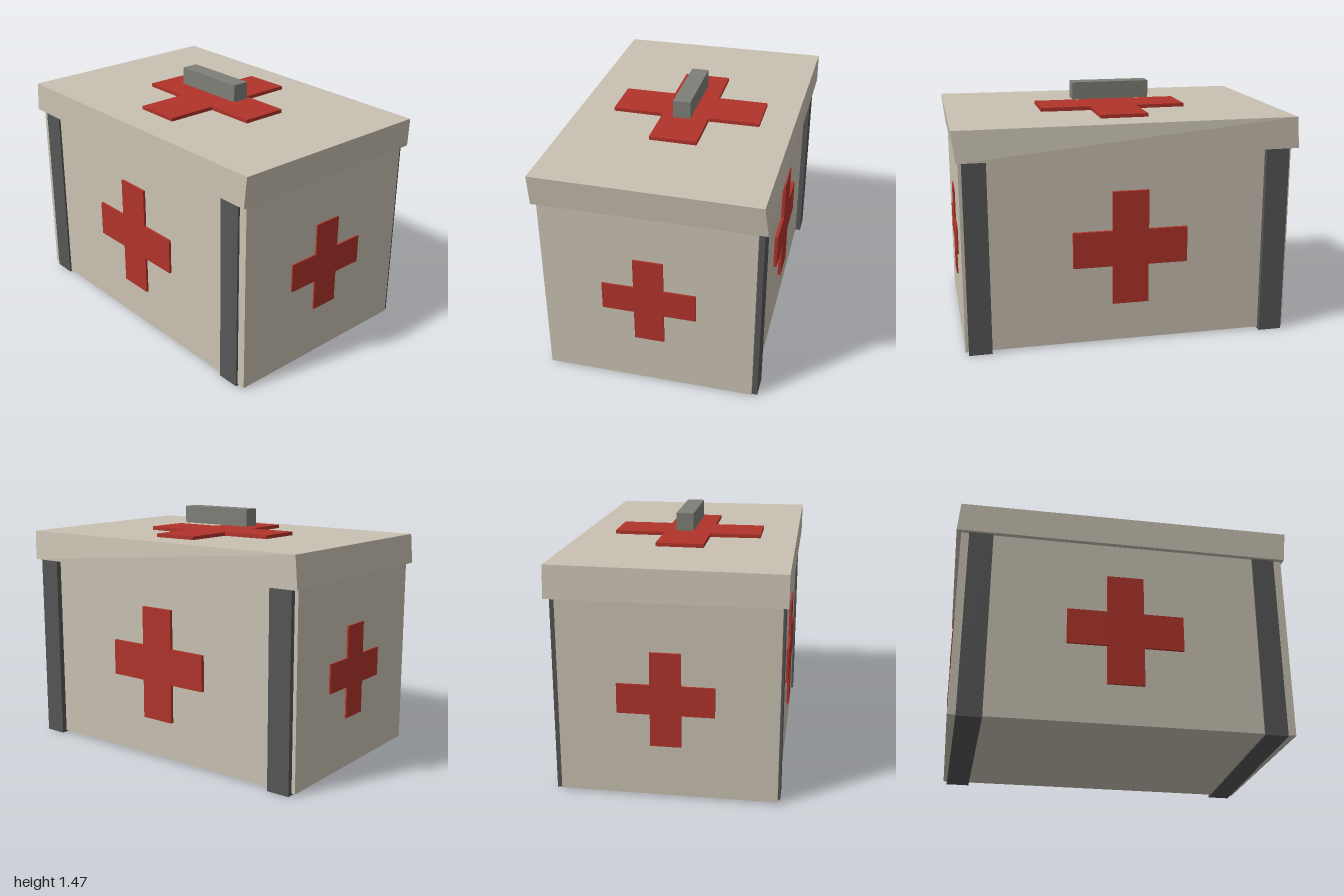
import * as THREE from 'three';

const mat = (color) => new THREE.MeshStandardMaterial({ color, flatShading: true });

export function createModel() {
  const group = new THREE.Group();
  const cream = mat(0xc9c1b2), red = mat(0xb0342a), dark = mat(0x565656), grey = mat(0x7e7f77);

  const add = (name, geometry, material) => {
    const mesh = new THREE.Mesh(geometry, material);
    mesh.name = name;
    group.add(mesh);
    return mesh;
  };

  // Box given by its minimum and maximum corners
  const boxBetween = (a, b) => new THREE.BoxGeometry(b[0] - a[0], b[1] - a[1], b[2] - a[2])
    .translate((a[0] + b[0]) / 2, (a[1] + b[1]) / 2, (a[2] + b[2]) / 2);

  // Extruded plus shape: half length and half bar width across (w, bw) and up (h, bh)
  const cross = (w, h, bw, bh, depth) => {
    const pts = [[bw, -h], [bw, -bh], [w, -bh], [w, bh], [bw, bh], [bw, h],
      [-bw, h], [-bw, bh], [-w, bh], [-w, -bh], [-bw, -bh], [-bw, -h]];
    const shape = new THREE.Shape(pts.map(([x, y]) => new THREE.Vector2(x, y)));
    return new THREE.ExtrudeGeometry(shape, { depth, bevelEnabled: false });
  };

  // Main box
  add('body', boxBetween([-0.973, 0.01, -0.603], [0.968, 1.2, 0.626]), cream);

  // Lid: a box with its corners nudged slightly out of square
  const lid = new THREE.BoxGeometry(2, 1, 1);
  const p = lid.attributes.position;
  for (let i = 0; i < p.count; i++) {
    const right = p.getX(i) > 0, top = p.getY(i) > 0, front = p.getZ(i) > 0;
    const x = right ? (top ? 1 : 0.98) : (top ? -0.985 : -1);
    const y = top ? (front === right ? 1.322 : 1.315) : 1.137;
    const z = front ? 0.656 : (top && right ? -0.635 : -0.656);
    p.setXYZ(i, x, y, z);
  }
  lid.computeVertexNormals();
  add('lid', lid, cream);

  // Straps running up the front, under the base and up the back
  const strap = (name, frontX, backX, width) => {
    const profile = [[0.638, 0], [0.638, 1.14], [0.6, 1.14], [0.6, 0.03],
      [-0.58, 0.03], [-0.58, 1.14], [-0.635, 1.14], [-0.635, 0]];
    const shape = new THREE.Shape(profile.map(([z, y]) => new THREE.Vector2(z, y)));
    const g = new THREE.ExtrudeGeometry(shape, { depth: width, bevelEnabled: false });
    g.rotateY(-Math.PI / 2).translate(width / 2, 0, 0);
    const q = g.attributes.position;
    // Lean the strap sideways from front to back
    for (let i = 0; i < q.count; i++) {
      const t = (0.638 - q.getZ(i)) / 1.273;
      q.setX(i, q.getX(i) + frontX + (backX - frontX) * t);
    }
    g.computeVertexNormals();
    add(name, g, dark);
  };
  strap('leftStrap', 0.85, 0.883, 0.135);
  strap('rightStrap', -0.857, -0.882, 0.14);

  // Crosses on the front, back, both sides and the lid
  const t = 0.03;
  add('frontCross', cross(0.34, 0.34, 0.107, 0.107, t), red).position.set(-0.005, 0.584, 0.64 - t);
  const back = add('backCross', cross(0.34, 0.34, 0.107, 0.107, t), red);
  back.rotation.y = Math.PI;
  back.position.set(-0.005, 0.584, -0.622 + t);
  for (const s of [1, -1]) {
    const side = add(s > 0 ? 'leftCross' : 'rightCross', cross(0.273, 0.273, 0.087, 0.086, t), red);
    side.rotation.y = s * Math.PI / 2;
    side.position.set(s > 0 ? 0.977 - t : -0.983 + t, 0.583, 0.002);
  }
  const topCross = add('topCross', cross(0.444, 0.444, 0.14, 0.14, t), red);
  topCross.rotation.x = -Math.PI / 2;
  topCross.position.set(-0.005, 1.338 - t, -0.003);

  // Carrying handle held above the lid
  add('handle', boxBetween([-0.24, 1.37, -0.055], [0.232, 1.474, 0.048]), grey);

  return group;
}
